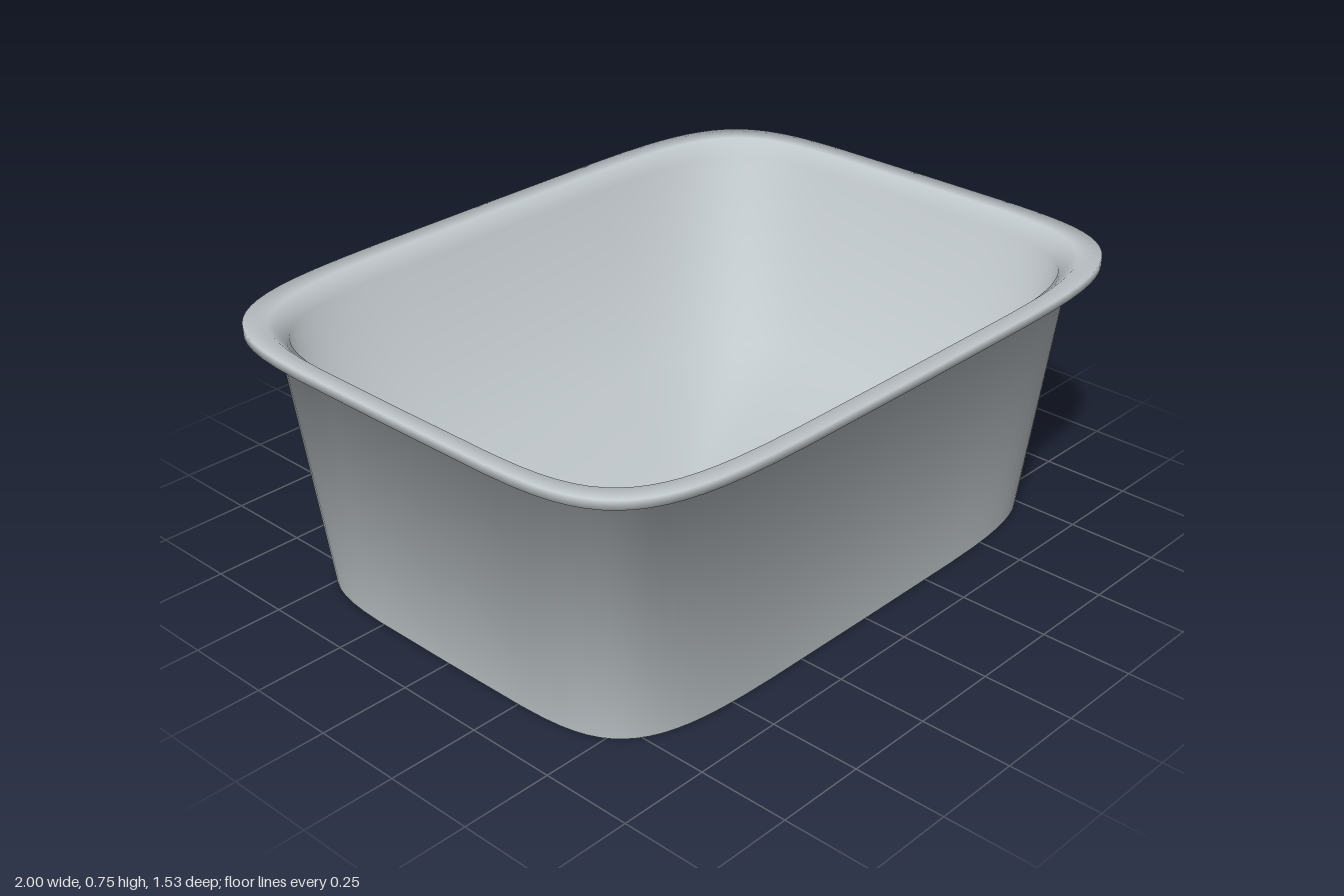
import * as THREE from 'three';
import { toCreasedNormals } from 'three/addons/utils/BufferGeometryUtils.js';

const SEGMENTS = 72;
const POWER = 5.6; // squareness of the rounded-rectangle outline
const HALF_X = 0.86, HALF_Z = 0.625; // outline where the shell meets the ground

const squircle = (v) => Math.sign(v) * Math.pow(Math.abs(v), 2 / POWER);

// Smooth loft through rounded-rectangle rings given as [halfX, y, halfZ]
function loft(rings, material, name) {
  const positions = [], index = [];
  rings.forEach(([rx, y, rz], i) => {
    for (let j = 0; j < SEGMENTS; j++) {
      const t = (j / SEGMENTS) * Math.PI * 2;
      positions.push(rx * squircle(Math.cos(t)), y, rz * squircle(Math.sin(t)));
      if (i === rings.length - 1) continue;
      const next = (j + 1) % SEGMENTS;
      const a = i * SEGMENTS + j, b = i * SEGMENTS + next;
      const c = a + SEGMENTS, d = b + SEGMENTS;
      index.push(a, c, b, b, c, d);
    }
  });
  const geometry = new THREE.BufferGeometry();
  geometry.setAttribute('position', new THREE.Float32BufferAttribute(positions, 3));
  geometry.setIndex(index);
  // Every face counts equally, so shading rolls softly from wall to rim and floor
  const mesh = new THREE.Mesh(toCreasedNormals(geometry, Math.PI), material);
  mesh.name = name;
  return mesh;
}

// Ring offset outward from the base outline
const ring = (offset, y) => [HALF_X + offset, y, HALF_Z + offset];

export function createModel() {
  const model = new THREE.Group();
  model.name = 'sinkBasin';

  const enamel = new THREE.MeshStandardMaterial({ color: 0xc1c8cc, side: THREE.DoubleSide });
  enamel.name = 'grey enamel';
  const dark = new THREE.MeshStandardMaterial({ color: 0x2c3534 });
  dark.name = 'dark drain';

  // One continuous skin: outer wall (open below), flared rim, inner wall, sloping floor
  model.add(loft([
    ring(0, 0),
    ring(0.072, 0.686),
    ring(0.14, 0.725),
    ring(0.14, 0.75),
    ring(0.09, 0.745),
    ring(0.05, 0.705),
    ring(-0.022, 0.12),
    [0.02, 0.035, 0.015],
  ], enamel, 'basinShell'));

  // Low drain disc resting on the floor
  const drain = new THREE.Mesh(new THREE.CylinderGeometry(0.103, 0.107, 0.02, 48), dark);
  drain.name = 'drain';
  drain.position.y = 0.057;
  model.add(drain);

  return model;
}
